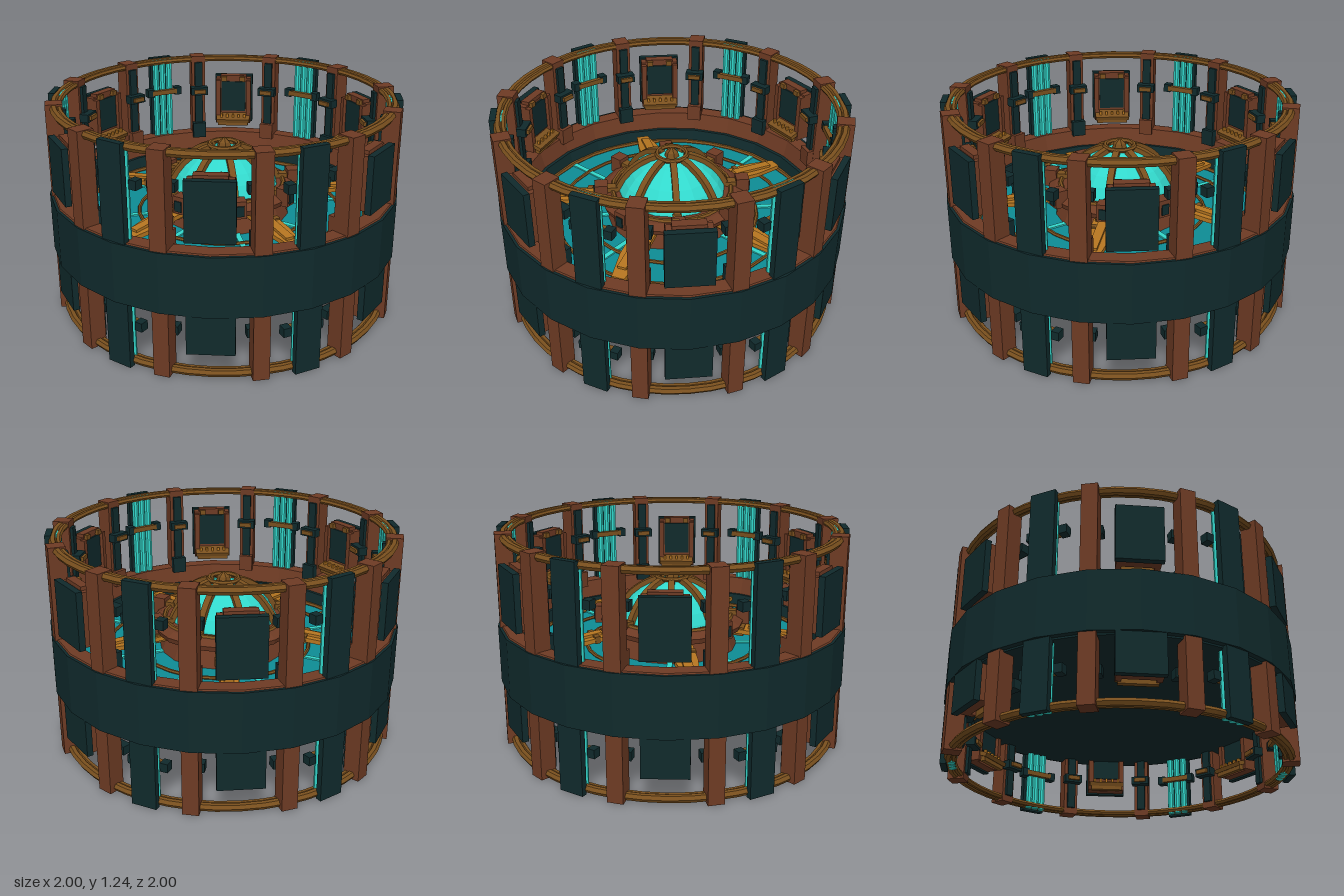
import * as THREE from 'three';

const mat = (name, color, extra = {}) => {
  const m = new THREE.MeshStandardMaterial({ color, flatShading: true, ...extra });
  m.name = name;
  return m;
};

export function createModel() {
  const dark = mat('dark plating', 0x102a2c);
  const copper = mat('copper', 0x6e3b24);
  const bronze = mat('bronze', 0x7a501e);
  const gold = mat('gold blade', 0xb57520);
  const cyan = mat('bright cyan', 0x32d8cc);
  const teal = mat('teal floor', 0x0e8c95);
  const darkShell = mat('dark shell', 0x102a2c, { side: THREE.DoubleSide });
  darkShell.color = dark.color;

  const root = new THREE.Group();
  root.name = 'cylindricalChamber';
  const add = (parent, name, geo, m, x = 0, y = 0, z = 0) => {
    const mesh = new THREE.Mesh(geo, m);
    mesh.name = name;
    mesh.position.set(x, y, z);
    parent.add(mesh);
    return mesh;
  };
  const box = (parent, name, m, w, h, d, x, y, z) =>
    add(parent, name, new THREE.BoxGeometry(w, h, d), m, x, y, z);
  // group turned about the vertical axis; local +z points outward
  const spoke = (name, deg, parent = root) => {
    const g = new THREE.Group();
    g.name = name;
    g.rotation.y = THREE.MathUtils.degToRad(deg);
    parent.add(g);
    return g;
  };
  const ring = (name, r, tube, y, m, seg = 48, parent = root) => {
    const t = add(parent, name, new THREE.TorusGeometry(r, tube, 6, seg), m, 0, y, 0);
    t.rotation.x = Math.PI / 2;
    return t;
  };
  const lathe = (name, pts, m, seg = 24) =>
    add(root, name, new THREE.LatheGeometry(pts.map(p => new THREE.Vector2(...p)), seg), m);

  // central band, rim and floors
  lathe('outerBand', [[0.95, 0.38], [1, 0.38], [1, 0.715], [0.985, 0.715]], darkShell);
  lathe('copperRim', [[0.985, 0.715], [0.98, 0.722], [0.895, 0.722], [0.87, 0.62]], copper);
  lathe('innerWall', [[0.87, 0.62], [0.85, 0.62], [0.83, 0.54]], dark);
  add(root, 'underside', new THREE.CylinderGeometry(0.97, 0.97, 0.03, 24), dark, 0, 0.385, 0);
  add(root, 'floor', new THREE.CylinderGeometry(0.84, 0.84, 0.03, 48), teal, 0, 0.525, 0);
  ring('floorEdgeRing', 0.825, 0.014, 0.545, bronze, 32);
  ring('floorOuterRing', 0.68, 0.011, 0.547, bronze, 32);
  ring('floorInnerRing', 0.5, 0.011, 0.547, bronze, 32);
  for (let i = 0; i < 8; i++)
    box(spoke('floorSpoke', i * 45), 'floorLight', cyan, 0.03, 0.008, 0.46, 0, 0.544, 0.58);

  // top and bottom hoops
  for (const y of [1.217, 0.03]) {
    ring('hoop', 0.945, 0.022, y, bronze);
    ring('innerHoop', 0.915, 0.016, y, bronze);
  }

  // twelve posts with inner dark strips and clamps
  for (let i = 0; i < 12; i++) {
    const p = spoke('post', i * 30);
    box(p, 'postBeam', copper, 0.088, 1.236, 0.095, 0, 0.622, 0.942);
    for (const s of [1, -1]) {
      const y = v => 0.622 + s * v;
      box(p, 'postStrip', dark, 0.05, 0.42, 0.02, 0, y(0.37), 0.888);
      box(p, 'clamp', dark, 0.11, 0.05, 0.055, 0, y(0.396), 0.865);
      box(p, 'clampBar', bronze, 0.075, 0.025, 0.02, 0, y(0.396), 0.832);
    }
    box(p, 'postFoot', i % 2 ? copper : dark, 0.085, 0.1, 0.04, 0, 0.745, 0.875);
  }

  // tall panels carrying three light tubes on the inside
  for (let i = 0; i < 6; i++) {
    const p = spoke('tallPanel', 15 + i * 60);
    box(p, 'panelPlate', dark, 0.145, 1.24, 0.035, 0, 0.62, 0.968);
    for (const x of [-0.045, 0, 0.045])
      add(p, 'lightTube', new THREE.CylinderGeometry(0.021, 0.021, 1.22, 8), cyan, x, 0.62, 0.925);
    for (const y of [1.02, 0.23]) {
      box(p, 'tubeBracket', bronze, 0.17, 0.03, 0.025, 0, y, 0.895);
      for (const x of [-0.095, 0.095])
        box(p, 'bracketEnd', dark, 0.045, 0.05, 0.05, x, y, 0.91);
    }
  }

  // consoles, upper and lower rows
  for (let i = 0; i < 6; i++) for (const y0 of [0.78, 0.16]) {
    const c = spoke('console', 45 + i * 60);
    c.position.y = y0;
    box(c, 'consoleBack', dark, 0.25, 0.32, 0.035, 0, 0.16, 0.965);
    box(c, 'consoleBody', copper, 0.23, 0.3, 0.06, 0, 0.16, 0.92);
    box(c, 'screen', dark, 0.16, 0.2, 0.012, 0, 0.19, 0.886);
    for (const s of [-1, 1]) {
      box(c, 'consoleSide', copper, 0.03, 0.29, 0.045, s * 0.1, 0.155, 0.885);
      box(c, 'topLug', bronze, 0.035, 0.03, 0.04, s * 0.06, 0.31, 0.885);
    }
    box(c, 'consoleTop', copper, 0.17, 0.025, 0.05, 0, 0.318, 0.91);
    const desk = box(c, 'desk', bronze, 0.22, 0.025, 0.09, 0, 0.05, 0.86);
    desk.rotation.x = -0.35;
    box(c, 'deskFront', bronze, 0.2, 0.035, 0.03, 0, 0.02, 0.845);
    for (let k = -2; k <= 2; k++)
      box(c, 'lever', gold, 0.014, 0.025, 0.014, k * 0.038, 0.065, 0.845);
  }

  // central dome on its pedestal
  add(root, 'pedestal', new THREE.CylinderGeometry(0.33, 0.38, 0.13, 16), copper, 0, 0.6, 0);
  lathe('domeCollar', [[0.3, 0.66], [0.41, 0.66], [0.42, 0.69], [0.38, 0.715], [0.3, 0.715]], copper, 16);
  ring('collarTrim', 0.345, 0.014, 0.715, bronze, 24);
  add(root, 'dome', new THREE.SphereGeometry(0.33, 16, 8, 0, Math.PI * 2, 0, Math.PI / 2), cyan, 0, 0.6, 0);

  // curved strap following the dome, extruded across its width
  const strap = new THREE.Shape();
  strap.absarc(0, 0, 0.355, 0.32, 1.36, false);
  strap.absarc(0, 0, 0.325, 1.36, 0.32, true);
  const strapGeo = new THREE.ExtrudeGeometry(strap, { depth: 0.036, bevelEnabled: false, curveSegments: 7 });
  strapGeo.translate(0, 0, -0.018).rotateY(-Math.PI / 2);
  for (let i = 0; i < 8; i++) {
    const r = spoke('domeRib', i * 45);
    add(r, 'ribStrap', strapGeo, bronze, 0, 0.6, 0);
    box(r, 'ribFoot', bronze, 0.05, 0.035, 0.08, 0, 0.725, 0.355);
    box(r, 'collarClamp', copper, 0.075, 0.1, 0.075, 0, 0.715, 0.41);
    box(r, 'clampFace', dark, 0.045, 0.06, 0.01, 0, 0.71, 0.45);
  }
  ring('crownRing', 0.085, 0.014, 0.94, bronze, 16);
  add(root, 'finialBase', new THREE.CylinderGeometry(0.035, 0.045, 0.04, 6), bronze, 0, 0.935, 0);
  add(root, 'finialTip', new THREE.ConeGeometry(0.035, 0.03, 6), bronze, 0, 0.97, 0);

  // five tapered blades around the dome
  const outline = new THREE.Shape([
    [-0.062, 0.36], [0.062, 0.36], [0.066, 0.6], [0.042, 0.775], [-0.03, 0.775], [-0.06, 0.6],
  ].map(p => new THREE.Vector2(...p)));
  const bladeGeo = new THREE.ExtrudeGeometry(outline, { depth: 0.025, bevelEnabled: false });
  bladeGeo.rotateX(Math.PI / 2);
  for (let i = 0; i < 5; i++) {
    const b = spoke('blade', 18 + i * 72);
    const tilt = new THREE.Group();
    tilt.name = 'bladeAssembly';
    tilt.position.y = 0.7;
    tilt.rotation.x = 0.1;
    b.add(tilt);
    add(tilt, 'bladePlate', bladeGeo, gold);
    box(tilt, 'bladeRidge', gold, 0.05, 0.02, 0.26, 0, 0.005, 0.58);
    box(tilt, 'bladeBand', bronze, 0.135, 0.04, 0.03, 0, -0.01, 0.49);
    box(tilt, 'bladeRoot', bronze, 0.1, 0.05, 0.06, 0, -0.015, 0.4);
  }
  return root;
}
